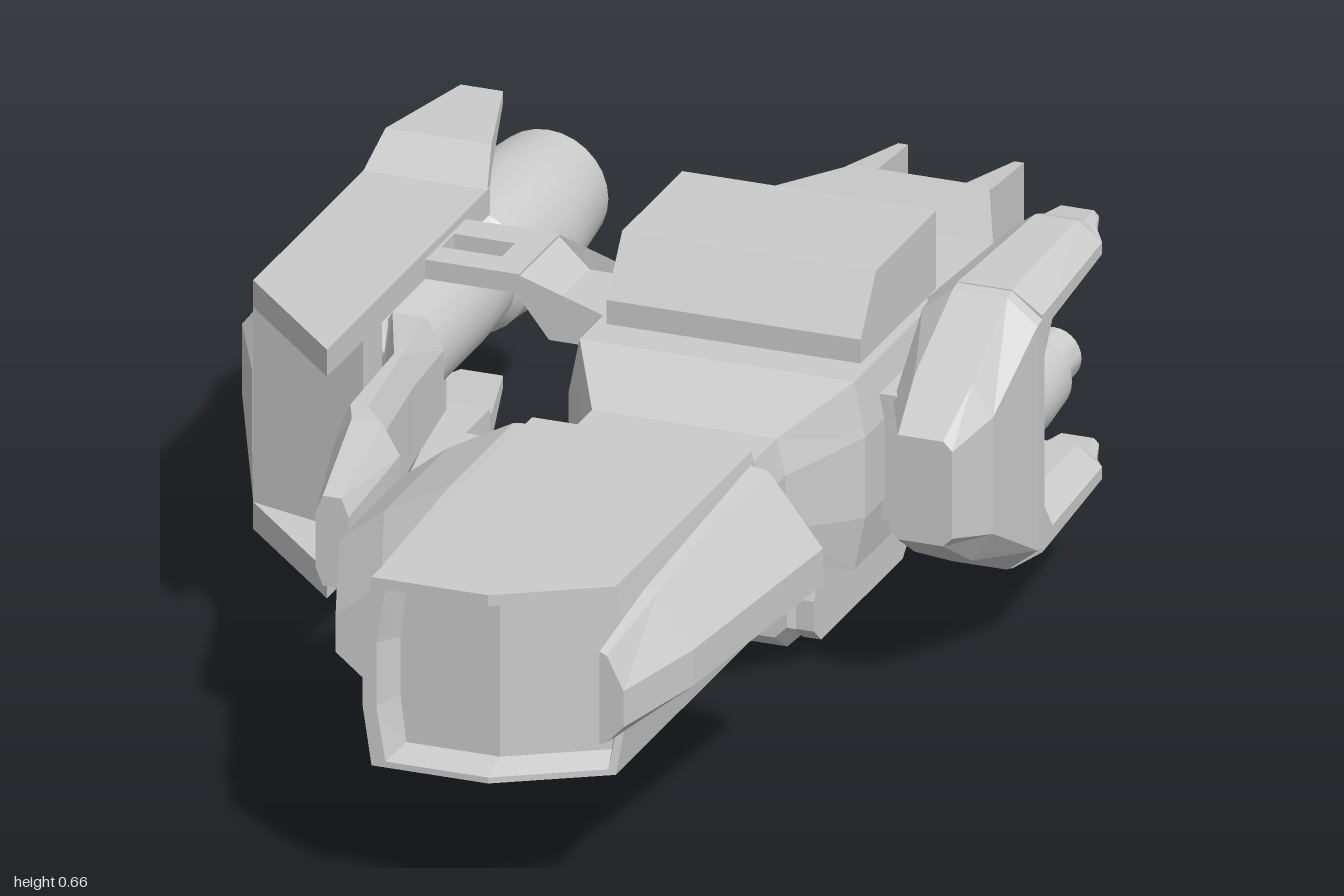
import * as THREE from 'three';
import { toCreasedNormals } from 'three/addons/utils/BufferGeometryUtils.js';

const mat = new THREE.MeshStandardMaterial({ color: 0xcccccc, side: THREE.DoubleSide });
const MID = 0.372; // height of the mirror plane shared by paired upper and lower parts

// Joins rings of [x, y, z] points into a closed flat-shaded solid; turns faces outward by volume sign.
function loft(rings) {
  const tris = [];
  const n = rings[0].length;
  for (let i = 0; i + 1 < rings.length; i++) {
    for (let j = 0; j < n; j++) {
      const k = (j + 1) % n;
      const [a, b, c, d] = [rings[i][j], rings[i][k], rings[i + 1][k], rings[i + 1][j]];
      tris.push([a, b, c], [a, c, d]);
    }
  }
  const first = rings[0], last = rings[rings.length - 1];
  for (let j = 1; j + 1 < n; j++) {
    tris.push([first[0], first[j + 1], first[j]], [last[0], last[j], last[j + 1]]);
  }
  let volume = 0;
  for (const [a, b, c] of tris) {
    volume += a[0] * (b[1] * c[2] - b[2] * c[1]) + a[1] * (b[2] * c[0] - b[0] * c[2]) + a[2] * (b[0] * c[1] - b[1] * c[0]);
  }
  if (volume < 0) tris.forEach((t) => t.reverse());
  const geo = new THREE.BufferGeometry();
  geo.setAttribute('position', new THREE.Float32BufferAttribute(tris.flat(2), 3));
  geo.computeVertexNormals();
  return geo;
}

// Chamfered rectangle across z, starting at the top middle.
function oct(z, x0, x1, y0, y1, bx = 0.02, by = bx, xm = (x0 + x1) / 2) {
  return [
    [xm, y1, z], [x0 + bx, y1, z], [x0, y1 - by, z], [x0, y0 + by, z], [x0 + bx, y0, z],
    [xm, y0, z], [x1 - bx, y0, z], [x1, y0 + by, z], [x1, y1 - by, z], [x1 - bx, y1, z],
  ];
}
const rect = (z, x0, x1, y0, y1) => [[x0, y0, z], [x1, y0, z], [x1, y1, z], [x0, y1, z]];
const section = (z, pts) => pts.map(([x, y]) => [x, y, z]);
const flip = (rings) => rings.map((r) => r.map(([x, y, z]) => [x, 2 * MID - y, z]));

// Slab from a plan outline of [x, z] points between two heights, with optional holes.
function slab(points, y0, y1, holes = []) {
  const shape = new THREE.Shape(points.map(([x, z]) => new THREE.Vector2(x, -z)));
  holes.forEach((h) => shape.holes.push(new THREE.Path(h.map(([x, z]) => new THREE.Vector2(x, -z)))));
  const geo = new THREE.ExtrudeGeometry(shape, { depth: y1 - y0, bevelEnabled: false });
  return geo.rotateX(-Math.PI / 2).translate(0, y0, 0);
}

// Round body along z from [radius, z] points.
function turned(points, x, y) {
  const geo = new THREE.LatheGeometry(points.map(([r, z]) => new THREE.Vector2(r, z)), 28);
  return toCreasedNormals(geo.rotateX(Math.PI / 2), 0.5).translate(x, y, 0);
}

export function createModel() {
  const model = new THREE.Group();
  const add = (name, geo) => {
    const mesh = new THREE.Mesh(geo, mat);
    mesh.name = name;
    model.add(mesh);
  };
  const addPair = (name, rings) => {
    add(name + 'Upper', loft(rings));
    add(name + 'Lower', loft(flip(rings)));
  };
  const box = (name, x0, x1, y0, y1, z0, z1) => add(name, loft([rect(z0, x0, x1, y0, y1), rect(z1, x0, x1, y0, y1)]));

  // Main hull: rear taper, waist, long nose with a slanted, recessed front
  const slant = (ring, dz = 0) => ring.map(([x, y, z]) => [x, y, z - dz - Math.max(0, x - 0.2) * 0.61]);
  add('hull', loft([
    oct(-0.83, 0.071, 0.31, 0.25, 0.5, 0.006, 0.1),
    oct(-0.56, -0.055, 0.435, 0.215, 0.53, 0.018, 0.09),
    oct(0.02, -0.055, 0.435, 0.215, 0.53, 0.018, 0.09),
    oct(0.15, 0.02, 0.355, 0.265, 0.475, 0.015, 0.06),
    oct(0.25, 0.02, 0.355, 0.265, 0.475, 0.015, 0.06),
    oct(0.33, -0.008, 0.385, 0.215, 0.53, 0.015, 0.1, 0.2),
    slant(oct(1, -0.008, 0.385, 0.215, 0.53, 0.015, 0.1, 0.2)),
    slant(oct(1, 0.015, 0.375, 0.225, 0.512, 0.015, 0.09, 0.2)),
    slant(oct(1, 0.035, 0.36, 0.24, 0.495, 0.01, 0.08, 0.2), 0.05),
  ]));

  // Twin tail forks
  for (const s of [-1, 1]) {
    const at = (z, inner, outer, y0, y1) => rect(z, 0.19 + s * inner, 0.19 + s * outer, y0, y1);
    add('tailFork', loft([at(-1, 0.088, 0.104, 0.28, 0.47), at(-0.82, 0.072, 0.121, 0.25, 0.5)]));
  }

  // Dorsal housing with sloped front, and a small dome behind it
  add('dorsalHousing', loft([-0.02, 0.4].map((x) =>
    [[x, 0.5, -0.365], [x, 0.5, -0.05], [x, 0.57, -0.05], [x, 0.66, -0.115], [x, 0.66, -0.365]])));
  add('dorsalDome', loft([
    section(-0.36, [[0.12, 0.5], [0.26, 0.5], [0.26, 0.58], [0.235, 0.61], [0.145, 0.61], [0.12, 0.58]]),
    section(-0.41, [[0.12, 0.5], [0.26, 0.5], [0.26, 0.58], [0.235, 0.61], [0.145, 0.61], [0.12, 0.58]]),
    section(-0.44, [[0.15, 0.5], [0.23, 0.5], [0.23, 0.57], [0.22, 0.6], [0.16, 0.6], [0.15, 0.57]]),
  ]));

  // Nose fins
  add('rightNoseFin', loft([[0.34, 0, 0], [0.6, 0, 0], [0.88, 0.105, 0.02]].map(([z, dx, dy]) =>
    section(z, [[0.02, 0.525 - dy], [-0.02, 0.52 - dy], [Math.min(-0.13 + dx, -0.022), 0.46], [-0.205 + dx, 0.4],
      [-0.205 + dx, 0.34], [Math.min(-0.13 + dx, -0.022), 0.28], [0.02, 0.27 + dy]]))));
  box('rightFinRoot', -0.13, 0.02, 0.28, 0.46, 0.305, 0.36);
  add('leftNoseFin', loft([[0.36, 0.5, 0.41, 0], [0.8, 0.46, 0.4, 0.03], [0.99, 0.42, 0.392, 0.06]].map(([z, tip, root, dy]) =>
    section(z, [[0.38, 0.52 - dy], [root, 0.515 - dy], [tip, 0.4], [tip, 0.34], [root, 0.28 + dy / 2], [0.38, 0.275 + dy / 2]]))));

  // Belly turret between two hanger plates
  for (const [x0, x1] of [[0.07, 0.1], [0.285, 0.315]]) {
    add('turretHanger', loft([x0, x1].map((x) => [[x, 0.23, -0.12], [x, 0.23, -0.42], [x, 0.13, -0.47], [x, 0.06, -0.47],
      [x, 0.035, -0.44], [x, 0.035, -0.1], [x, 0.06, -0.07], [x, 0.11, -0.07]])));
  }
  add('turretBody', loft([
    oct(-0.46, 0.115, 0.27, 0.035, 0.13, 0.02), oct(-0.42, 0.1, 0.285, 0.01, 0.145, 0.03),
    oct(-0.27, 0.1, 0.285, 0, 0.145, 0.03), oct(-0.11, 0.1, 0.285, 0.01, 0.145, 0.03),
    oct(-0.07, 0.115, 0.27, 0.04, 0.13, 0.02),
  ]));
  box('turretMount', 0.095, 0.29, 0.13, 0.23, -0.4, -0.14);

  // Left pod: wedge core, two rear prongs and a thruster between them
  add('leftPodCore', loft([
    oct(0.035, 0.48, 0.585, 0.285, 0.46, 0.015), oct(-0.06, 0.45, 0.615, 0.225, 0.52, 0.035, 0.05),
    oct(-0.22, 0.435, 0.625, 0.145, 0.6, 0.05, 0.04), oct(-0.25, 0.435, 0.625, 0.14, 0.605, 0.05, 0.04),
  ]));
  addPair('leftPodProng', [
    oct(-0.24, 0.435, 0.625, 0.45, 0.605, 0.05, 0.035), oct(-0.29, 0.438, 0.622, 0.51, 0.605, 0.05, 0.035),
    oct(-0.54, 0.455, 0.605, 0.52, 0.6, 0.04, 0.03), oct(-0.58, 0.475, 0.58, 0.545, 0.585, 0.02, 0.01),
    oct(-0.64, 0.49, 0.56, 0.55, 0.575, 0.008),
  ]);
  add('leftThruster', turned([[0, -0.5], [0.035, -0.5], [0.045, -0.53], [0.045, -0.46], [0.065, -0.44],
    [0.072, -0.36], [0.07, -0.23], [0, -0.23]], 0.53, 0.375));
  box('leftPodMount', 0.4, 0.47, 0.27, 0.48, -0.4, -0.06);

  // Right pod: two plates, angled outer wall, front wall and inner core
  const plate = [[-0.34, 0.31], [-0.545, 0.1], [-0.545, -0.37], [-0.34, -0.37]];
  add('rightPodPlateUpper', slab(plate, 0.535, 0.58));
  add('rightPodPlateLower', slab(plate, 2 * MID - 0.58, 2 * MID - 0.535));
  const wall = (z, out) => section(z, [[-0.5, 0.58], [-0.545, 0.58], [-0.545, 0.535], [-0.545 - out, 0.43],
    [-0.545 - out, 0.315], [-0.545, 0.21], [-0.545, 0.165], [-0.5, 0.165]]);
  add('rightPodOuterWall', loft([wall(-0.37, 0.082), wall(-0.06, 0.082), wall(0.1, 0.002)]));
  add('rightPodFrontWall', slab([[-0.34, 0.16], [-0.545, 0.1], [-0.545, 0.02], [-0.34, 0.08]], 0.2, 0.54));
  box('rightPodCore', -0.54, -0.4, 0.2, 0.54, -0.34, 0.08);
  addPair('rightPodTail', [
    rect(-0.64, -0.495, -0.425, 0.6, 0.62), rect(-0.44, -0.54, -0.365, 0.575, 0.62), rect(-0.36, -0.545, -0.34, 0.535, 0.58),
  ]);

  // Right engine with an open nozzle
  add('rightEngine', turned([[0, -0.66], [0.07, -0.68], [0.086, -0.84], [0.1, -0.84], [0.12, -0.66], [0.105, -0.52],
    [0.105, -0.5], [0.09, -0.48], [0.095, -0.38], [0.095, 0.0], [0, 0.0]], -0.43, 0.375));

  // Tapered duct running forward from the right pod to the nose fin
  add('intakeDuct', loft([
    oct(-0.09, -0.42, -0.305, 0.27, 0.475, 0.03, 0.05), oct(0.08, -0.34, -0.287, 0.26, 0.485, 0.02, 0.05),
    oct(0.3, -0.325, -0.255, 0.255, 0.49, 0.02, 0.05), oct(0.345, -0.315, -0.205, 0.255, 0.488, 0.03, 0.05),
    oct(0.56, -0.26, -0.205, 0.3, 0.45, 0.012, 0.03),
  ]));

  // Slotted arms and sloped knuckles joining the right pod to the hull
  const arm = [[-0.35, -0.1], [-0.35, -0.27], [-0.185, -0.27], [-0.185, -0.1]];
  const slot = [[-0.335, -0.155], [-0.235, -0.155], [-0.235, -0.21], [-0.335, -0.21]];
  add('podArmUpper', slab(arm, 0.535, 0.567, [slot]));
  add('podArmLower', slab(arm, 2 * MID - 0.567, 2 * MID - 0.535, [slot]));
  const knuckle = (z) => section(z, [[-0.19, 0.567], [-0.19, 0.535], [-0.135, 0.465], [-0.03, 0.465], [-0.03, 0.515], [-0.135, 0.515]]);
  addPair('podArmKnuckle', [knuckle(-0.27), knuckle(-0.1)]);

  return model;
}
